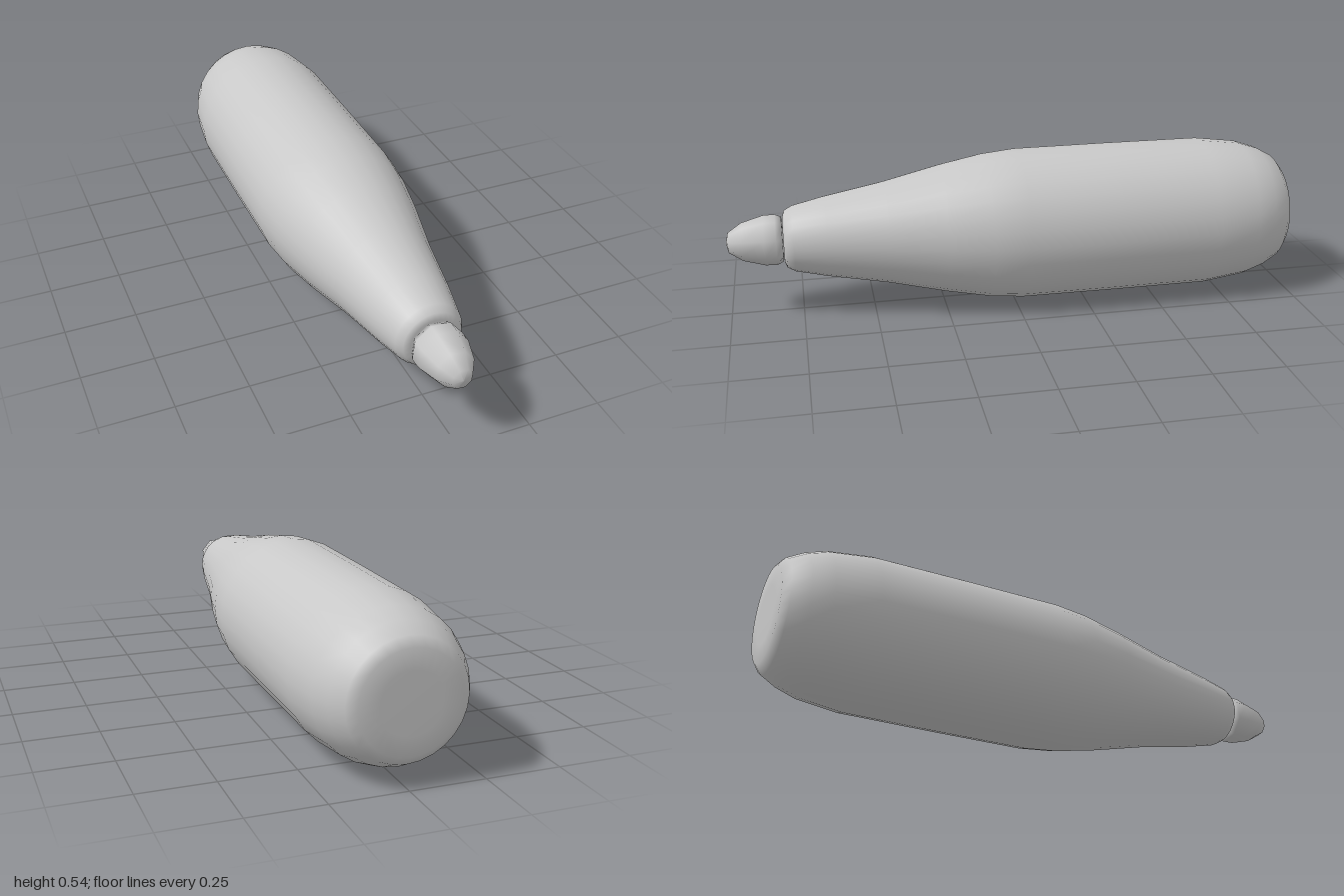
import * as THREE from 'three';

const AXIS_Y = 0.27;

// Turned solid along +z from [radius, z] pairs, back to front
function turned(name, profile, sides, material, turn = 0) {
  const points = profile.map(([r, z]) => new THREE.Vector2(r, z));
  const geometry = new THREE.LatheGeometry(points, sides);
  geometry.rotateY(turn);
  geometry.rotateX(Math.PI / 2);
  const mesh = new THREE.Mesh(geometry, material);
  mesh.name = name;
  mesh.position.y = AXIS_Y;
  return mesh;
}

export function createModel() {
  const group = new THREE.Group();
  group.name = 'taperedBottle';

  const grey = new THREE.MeshStandardMaterial({ color: 0xc8c8c8 });
  grey.name = 'plain grey';

  // Body: rounded base, straight middle, long taper to the neck
  group.add(turned('body', [
    [0, -1], [0.1, -1], [0.165, -0.998], [0.195, -0.975], [0.225, -0.92],
    [0.248, -0.85], [0.267, -0.7], [0.268, -0.35], [0.267, -0.02],
    [0.255, 0.1], [0.226, 0.25], [0.179, 0.45], [0.14, 0.66],
    [0.115, 0.77], [0.1, 0.797], [0.08, 0.805], [0, 0.805],
  ], 28, grey));

  // Tip: small blunt nozzle with few sides
  group.add(turned('tip', [
    [0, 0.8], [0.078, 0.808], [0.088, 0.83], [0.087, 0.87],
    [0.066, 0.945], [0.035, 0.992], [0, 1],
  ], 8, grey, 0.3));

  return group;
}
